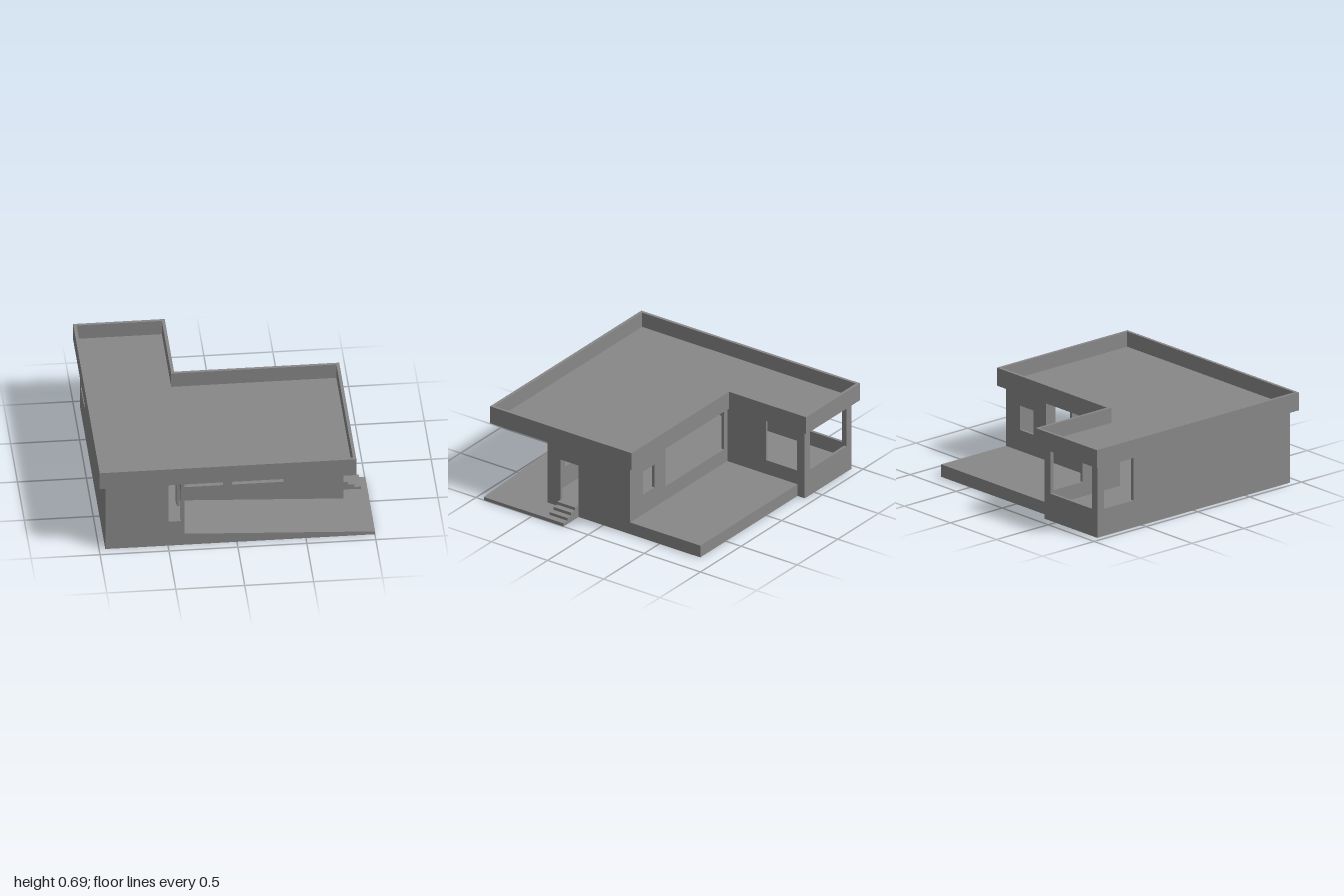
import * as THREE from 'three';

const FLOOR = 0.095, EAVE = 0.553, DECK = 0.575, TOP = 0.69, T = 0.022;
const SILL = 0.207, HEAD = 0.53;
const RIGHT = -0.955, LEFT = 0.815, WING = -0.38;          // wall faces in x
const FRONT = 0.93, PORCH = 0.495, TERRACE = -0.24, BACK = -0.93; // wall faces in z

export function createModel() {
  const house = new THREE.Group();
  house.name = 'house';
  const material = new THREE.MeshStandardMaterial({ color: 0x888888 });

  const add = (name, geometry) => {
    const mesh = new THREE.Mesh(geometry, material);
    mesh.name = name;
    house.add(mesh);
    return mesh;
  };
  const box = (name, x0, x1, y0, y1, z0, z1) =>
    add(name, new THREE.BoxGeometry(x1 - x0, y1 - y0, z1 - z0))
      .position.set((x0 + x1) / 2, (y0 + y1) / 2, (z0 + z1) / 2);
  const points = pts => pts.map(p => new THREE.Vector2(...p));
  const extrude = (shape, depth) =>
    new THREE.ExtrudeGeometry(shape, { depth, bevelEnabled: false });

  // Wall with windows [from, to, bottom, top] and an optional door [from, to, top];
  // "at" is its lower-coordinate face
  const wall = (name, axis, at, from, to, windows = [], door) => {
    const doorway = door
      ? [[door[0], FLOOR], [door[0], door[2]], [door[1], door[2]], [door[1], FLOOR]] : [];
    const shape = new THREE.Shape(points(
      [[from, FLOOR], ...doorway, [to, FLOOR], [to, EAVE], [from, EAVE]]));
    for (const [a, b, y0, y1] of windows) {
      shape.holes.push(new THREE.Path(points([[a, y0], [b, y0], [b, y1], [a, y1]])));
    }
    const geometry = extrude(shape, T);
    if (axis === 'x') geometry.rotateY(-Math.PI / 2).translate(at + T, 0, 0);
    else geometry.translate(0, 0, at);
    add(name, geometry);
  };

  // Horizontal plate from a plan outline of [x, z] corners
  const outline = pts => points(pts.map(([x, z]) => [x, -z]));
  const plate = (name, pts, y0, y1, hole) => {
    const shape = new THREE.Shape(outline(pts));
    if (hole) shape.holes.push(new THREE.Path(outline(hole)));
    add(name, extrude(shape, y1 - y0).rotateX(-Math.PI / 2).translate(0, y0, 0));
  };

  // Floor slab of the house, and the back terrace in its corner
  plate('floorSlab', [[RIGHT, FRONT], [WING, FRONT], [WING, PORCH], [LEFT, PORCH],
    [LEFT, TERRACE], [WING, TERRACE], [WING, BACK], [RIGHT, BACK]], 0, FLOOR);
  box('terrace', WING, LEFT, 0, FLOOR, -0.865, TERRACE);

  // Walls facing front and back
  wall('wingFrontWall', 'z', FRONT - T, RIGHT, WING, [[-0.497, -0.405, SILL, HEAD]]);
  wall('wingBackWall', 'z', BACK, RIGHT, WING, [[-0.895, -0.447, SILL, HEAD]]);
  wall('porchWall', 'z', PORCH - T, WING, LEFT, [
    [-0.337, -0.057, SILL, HEAD], [0.007, 0.381, SILL, HEAD], [0.446, 0.632, 0.255, 0.44]]);
  wall('terraceWall', 'z', TERRACE, WING, LEFT, [
    [-0.337, 0.381, SILL, HEAD], [0.516, 0.66, 0.255, 0.44]]);

  // Walls facing the sides
  const cornerWindow = [-0.863, -0.583, SILL, HEAD];
  wall('rightSideWall', 'x', RIGHT, BACK + T, FRONT - T, [cornerWindow]);
  wall('wingTerraceWall', 'x', WING - T, BACK + T, TERRACE + T, [cornerWindow]);
  wall('wingPorchWall', 'x', WING - T, PORCH - T, FRONT - T, [], [0.565, 0.842, 0.417]);
  wall('leftSideWall', 'x', LEFT - T, TERRACE + T, PORCH - T, [], [0.22, 0.38, 0.417]);

  // Gently sloping ramp along the porch, widening beside the steps
  const slope = x => 0.025 + (1 - x) * (FLOOR - 0.025) / (1 - WING);
  const ramp = (name, x0, z0, z1) => {
    const side = new THREE.Shape(points([[x0, 0], [1, 0], [1, 0.025], [x0, slope(x0)]]));
    add(name, extrude(side, z1 - z0).translate(0, 0, z0));
  };
  ramp('ramp', WING, PORCH, FRONT);
  ramp('stepLanding', LEFT, 0.22, PORCH);

  // Steps down from the side door
  for (let i = 0; i < 3; i++) {
    box('step', LEFT, 0.859 + i * 0.047, 0.01, FLOOR - i * 0.023, 0.22, 0.377);
  }

  // Flat roof with a raised rim
  const roofPlan = inset => [[-1 + inset, 0.975 - inset], [0.862 - inset, 0.975 - inset],
    [0.862 - inset, -0.287 + inset], [-0.336 - inset, -0.287 + inset],
    [-0.336 - inset, -0.975 + inset], [-1 + inset, -0.975 + inset]];
  plate('roofDeck', roofPlan(0), EAVE, DECK);
  plate('roofRim', roofPlan(0), DECK, TOP, roofPlan(0.023));

  return house;
}
